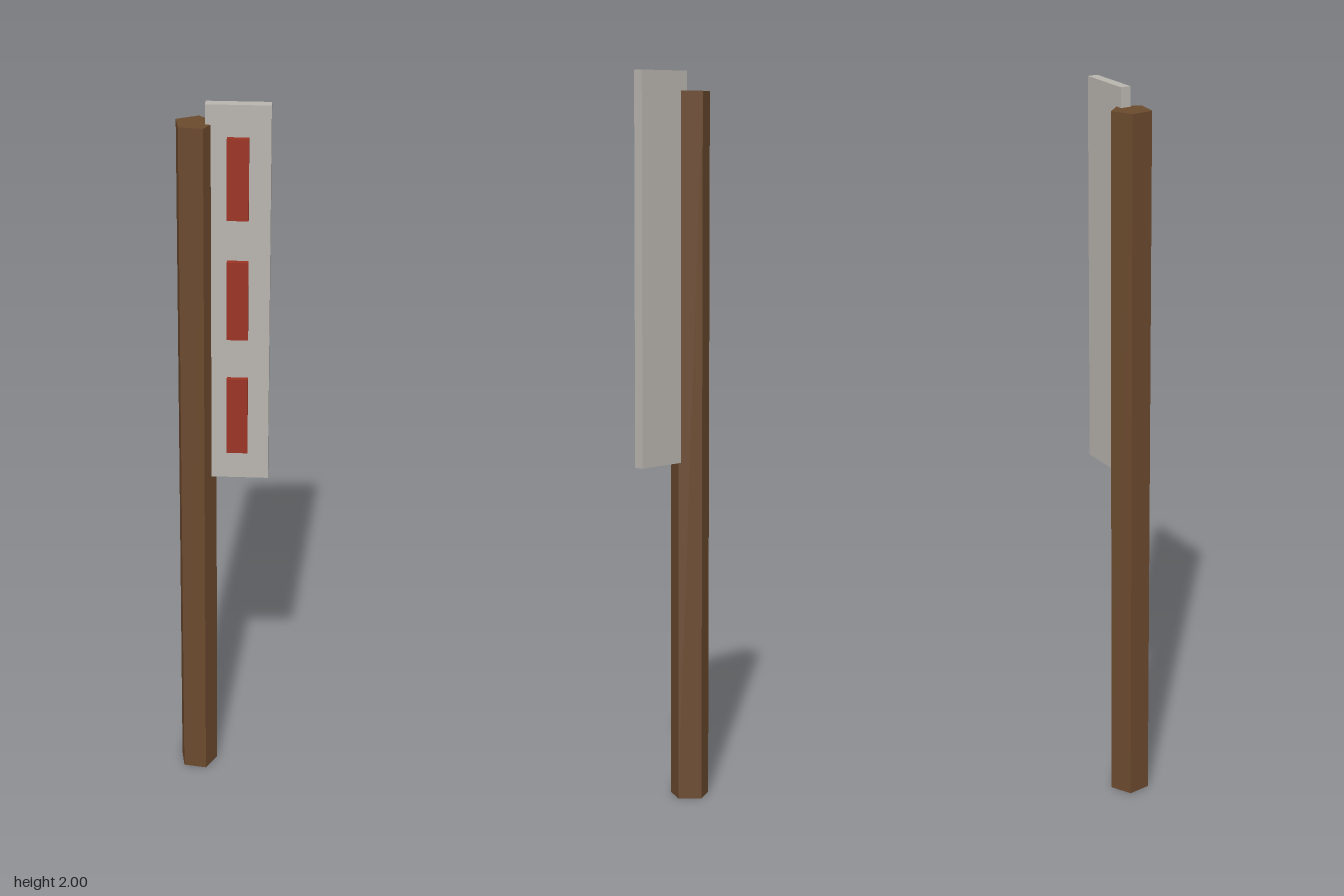
import * as THREE from 'three';

export function createModel() {
  const model = new THREE.Group();
  model.name = 'markerPost';

  const material = (name, color) => {
    const m = new THREE.MeshStandardMaterial({ color });
    m.name = name;
    return m;
  };
  const wood = material('brown wood', 0x6b4a2e);
  const grey = material('pale grey', 0xb9b5af);
  const red = material('dull red', 0x9c3424);

  const add = (name, geometry, mat, x, y, z) => {
    const mesh = new THREE.Mesh(geometry, mat);
    mesh.name = name;
    mesh.position.set(x, y, z);
    model.add(mesh);
  };

  // Five-sided post, turned slightly; flat normals per side
  const postHeight = 1.947;
  const postGeometry = new THREE.CylinderGeometry(0.0547, 0.0547, postHeight, 5, 1, false, 0.475).toNonIndexed();
  postGeometry.computeVertexNormals();
  add('post', postGeometry, wood, -0.0733, postHeight / 2, 0);

  // Board fixed to the side of the post
  add('board', new THREE.BoxGeometry(0.167, 1.053, 0.0285), grey, 0.038, 1.4735, 0.001);

  // Three raised blocks on the front of the board
  for (let i = 0; i < 3; i++) {
    add('block' + (i + 1), new THREE.BoxGeometry(0.056, 0.219, 0.0285), red, 0.038, 1.138 + i * 0.334, 0.0162);
  }

  return model;
}
